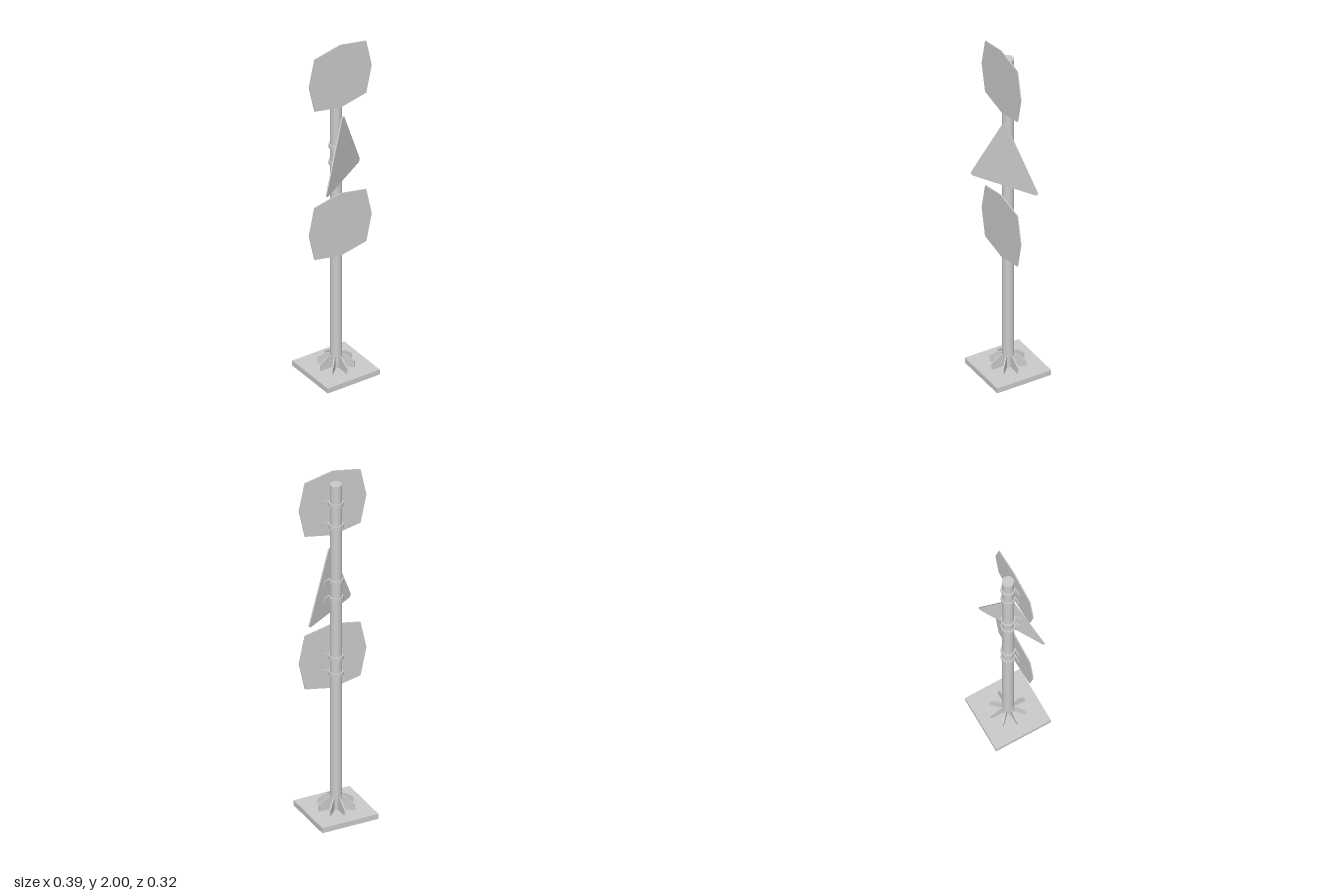
import * as THREE from 'three';

const material = new THREE.MeshStandardMaterial({ color: 0xcccccc });
const POLE_R = 0.031;

function add(parent, geometry, name) {
  const mesh = new THREE.Mesh(geometry, material);
  mesh.name = name;
  parent.add(mesh);
  return mesh;
}

function plate(points, depth) {
  const shape = new THREE.Shape(points.map(([x, y]) => new THREE.Vector2(x, y)));
  return new THREE.ExtrudeGeometry(shape, { depth, bevelEnabled: false });
}

// Strap around the pole, open at the front, with a flat ear on each side
function clampGeometry() {
  const height = 0.022, outer = 0.038, earZ = 0.03, earX = 0.058, t = 0.005;
  const gap = Math.acos((earZ + t / 2) / outer);
  const points = [];
  const arc = (r, from, to) => {
    for (let i = 0; i <= 18; i++) {
      const a = from + (to - from) * i / 18;
      points.push([r * Math.sin(a), -r * Math.cos(a)]);
    }
  };
  // Drawn in plan: shape y is -z
  points.push([earX, -earZ - t], [earX, -earZ]);
  arc(outer, gap + 0.12, 2 * Math.PI - gap - 0.12);
  points.push([-earX, -earZ], [-earX, -earZ - t], [-0.014, -earZ - t]);
  arc(POLE_R - 0.001, 2 * Math.PI - 0.5, 0.5);
  points.push([0.014, -earZ - t]);
  const geometry = plate(points, height);
  geometry.rotateX(-Math.PI / 2);
  geometry.translate(0, -height / 2, 0);
  return geometry;
}

// Sign panel with its two clamps, turned about the pole
function addSign(parent, name, outline, y, clampHeights, turn = 0) {
  const sign = new THREE.Group();
  sign.name = name;
  sign.rotation.y = turn;
  add(sign, plate(outline, 0.006), name + 'Panel').position.set(0, y, 0.0355);
  const strap = clampGeometry();
  for (const h of clampHeights) add(sign, strap, name + 'Clamp').position.y = h;
  parent.add(sign);
}

export function createModel() {
  const model = new THREE.Group();
  model.name = 'signPost';

  // Base plate and pole
  add(model, new THREE.BoxGeometry(0.323, 0.03, 0.323), 'basePlate').position.y = 0.015;
  add(model, new THREE.CylinderGeometry(POLE_R, POLE_R, 1.91, 20), 'pole').position.y = 0.985;

  // Eight gussets around the foot of the pole
  const gusset = plate([[0.026, 0.03], [0.098, 0.03], [0.098, 0.066], [0.05, 0.102], [0.026, 0.102]], 0.006);
  gusset.translate(0, 0, -0.003);
  for (let i = 0; i < 8; i++) add(model, gusset, 'gusset').rotation.y = i * Math.PI / 4;

  // Bowed square signs, top and bottom
  const bowed = [[0, 0.19], [-0.16, 0.158], [-0.194, 0], [-0.16, -0.158],
    [0, -0.19], [0.16, -0.158], [0.194, 0], [0.16, 0.158]];
  addSign(model, 'upperSign', bowed, 1.81, [1.825, 1.695]);
  addSign(model, 'lowerSign', bowed, 0.907, [0.92, 0.825]);

  // Triangular sign with blunted corners
  const triangle = [[0.183, 0], [0.193, 0.006], [0.195, 0.018], [0.013, 0.376], [0, 0.385],
    [-0.013, 0.376], [-0.195, 0.018], [-0.193, 0.006], [-0.183, 0]];
  addSign(model, 'triangleSign', triangle, 1.17, [1.37, 1.27], Math.PI / 6);

  return model;
}
